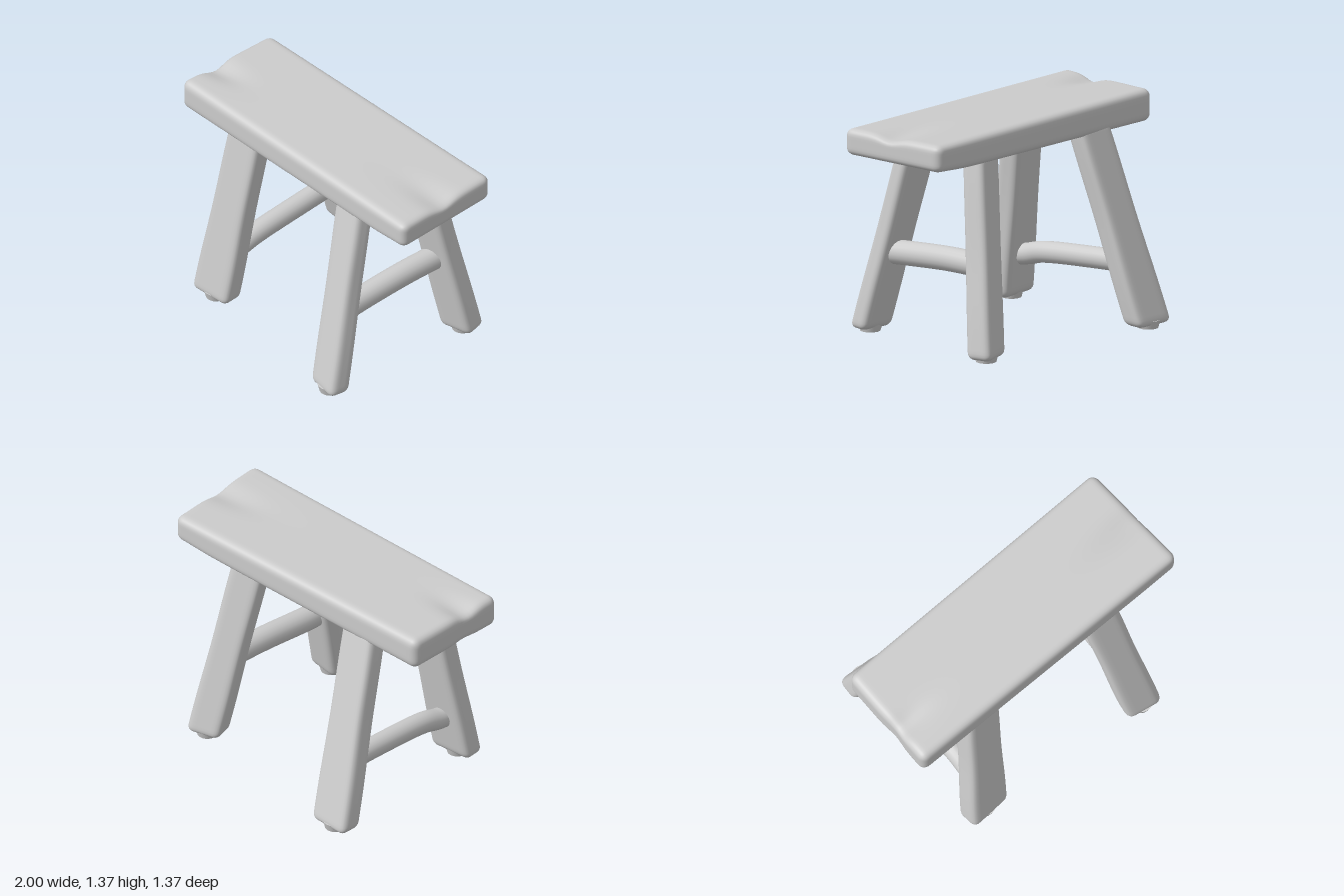
import * as THREE from 'three';
import { mergeVertices } from 'three/addons/utils/BufferGeometryUtils.js';

const { lerp } = THREE.MathUtils;
const bump = (v, centre, width) => Math.exp(-(((v - centre) / width) ** 2));

// Box with softly rounded edges, bent by a rule; points crowd towards the edges.
function softBox(size, radius, segments, rule) {
  let geo = new THREE.BoxGeometry(2, 2, 2, ...segments);
  geo.deleteAttribute('uv');
  geo.deleteAttribute('normal');
  geo = mergeVertices(geo);
  const pos = geo.attributes.position;
  const half = new THREE.Vector3(...size).multiplyScalar(0.5);
  const inner = half.clone().subScalar(radius);
  const p = new THREE.Vector3(), core = new THREE.Vector3();
  for (let i = 0; i < pos.count; i++) {
    p.fromBufferAttribute(pos, i);
    for (const a of ['x', 'y', 'z']) p[a] = Math.sin(p[a] * Math.PI / 2) * half[a];
    core.copy(p).clamp(inner.clone().negate(), inner);
    p.sub(core);
    if (p.lengthSq() > 0) {
      // Keep the flat faces flat and pull the edges in to the radius
      p.setLength(Math.min(radius, Math.max(Math.abs(p.x), Math.abs(p.y), Math.abs(p.z))));
    }
    p.add(core);
    rule(p);
    pos.setXYZ(i, p.x, p.y, p.z);
  }
  geo.computeVertexNormals();
  return geo;
}

export function createModel() {
  const stool = new THREE.Group();
  stool.name = 'stool';
  const wood = new THREE.MeshStandardMaterial({ color: 0xcccccc });
  wood.name = 'paleWood';
  const add = (name, geo, parent = stool) => {
    const mesh = new THREE.Mesh(geo, wood);
    mesh.name = name;
    parent.add(mesh);
    return mesh;
  };

  // Seat plank: slightly tilted and tapered, with worn dips at both ends
  add('seat', softBox([2, 0.2, 0.71], 0.05, [56, 14, 36], (p) => {
    const { x, y, z } = p;
    const t = (x + 1) / 2;
    const top = lerp(1.352, 1.375, t);
    const bottom = lerp(1.15, 1.195, t) + 0.015 * bump(x, 1, 0.2);
    p.y = lerp(bottom, top, y / 0.2 + 0.5);
    p.z = lerp(-0.32, lerp(0.385, 0.415, t), z / 0.71 + 0.5) + lerp(0, 0.012, t);
    const dip = 0.028 * bump(p.z, 0.08, 0.09) * bump(x, 1, 0.3)
      + 0.035 * bump(p.z, 0.14, 0.08) * bump(x, -1, 0.22);
    if (y > 0) p.y -= dip * (y / 0.1);
    // Uneven plank ends
    if (x < 0) p.x += bump(x, -1, 0.3) * (0.028 * (0.5 - z / 0.71) + 0.012 * bump(z, 0.08, 0.08));
    else p.x -= bump(x, 1, 0.3) * 0.02 * (0.5 - z / 0.71);
  }));

  // Splayed legs: foot and top centres [x, z], foot and top sizes [x, z], twist
  const legs = [
    { name: 'leftFrontLeg', foot: [0.545, 0.607], top: [0.445, 0.3], size: [0.235, 0.145], topSize: [0.24, 0.13], twist: -0.18 },
    { name: 'leftBackLeg', foot: [0.64, -0.39], top: [0.455, -0.185], size: [0.225, 0.165], topSize: [0.22, 0.15], twist: 0.22 },
    { name: 'rightFrontLeg', foot: [-0.595, 0.475], top: [-0.485, 0.285], size: [0.29, 0.15], topSize: [0.25, 0.15], twist: 0.05 },
    { name: 'rightBackLeg', foot: [-0.59, -0.61], top: [-0.48, -0.215], size: [0.28, 0.155], topSize: [0.25, 0.15], twist: -0.08 },
  ];
  for (const { name, foot, top, size, topSize, twist } of legs) {
    const leg = new THREE.Group();
    leg.name = name;
    stool.add(leg);
    const c = Math.cos(twist), s = Math.sin(twist);
    add('post', softBox([size[0], 1.24, size[1]], 0.045, [14, 40, 14], (p) => {
      const t = (p.y + 0.62) / 1.24;
      const x = p.x * lerp(1, topSize[0] / size[0], t) * (1 + 0.02 * Math.sin(t * 9));
      const z = p.z * lerp(1, topSize[1] / size[1], t);
      p.x = lerp(foot[0], top[0], t) + x * c + z * s;
      p.z = lerp(foot[1], top[1], t) - x * s + z * c;
      p.y = 0.02 + t * 1.22;
    }), leg);
    // Small worn pad beneath the foot
    const pad = add('footPad', new THREE.CylinderGeometry(0.075, 0.062, 0.05, 24), leg);
    pad.position.set(foot[0], 0.025, foot[1]);
  }

  // Round stretchers joining the front and back leg at each end
  const stretcher = (name, radius, points) => {
    const curve = new THREE.CatmullRomCurve3(points.map((p) => new THREE.Vector3(...p)));
    add(name, new THREE.TubeGeometry(curve, 32, radius, 20));
  };
  stretcher('leftStretcher', 0.075, [
    [0.51, 0.505, 0.47], [0.51, 0.515, 0.35], [0.53, 0.545, 0], [0.55, 0.555, -0.29],
  ]);
  stretcher('rightStretcher', 0.066, [
    [-0.57, 0.28, 0.43], [-0.57, 0.298, 0.32], [-0.565, 0.33, 0.2], [-0.56, 0.37, -0.22], [-0.56, 0.385, -0.47],
  ]);

  return stool;
}
